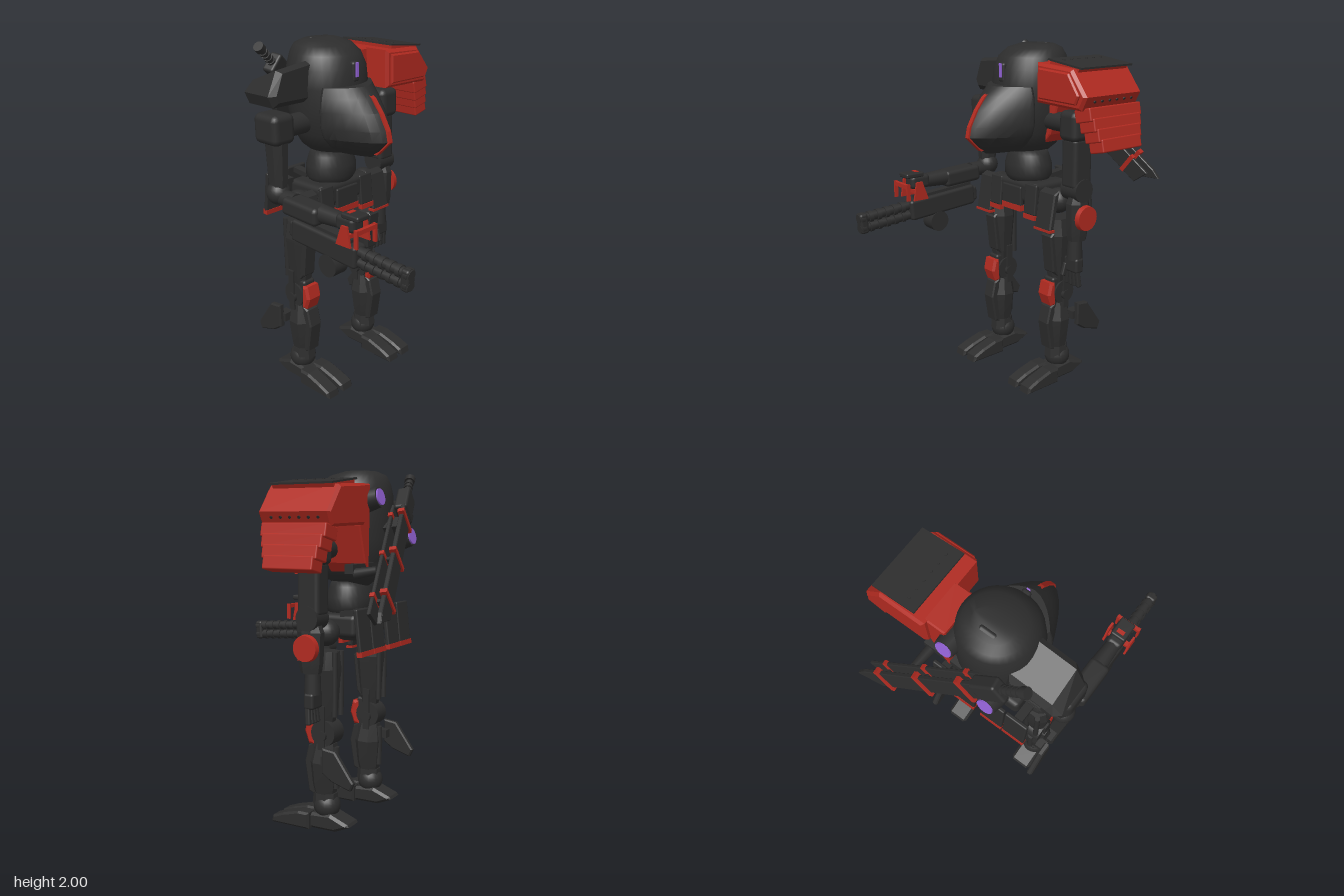
import * as THREE from 'three';
import { toCreasedNormals } from 'three/addons/utils/BufferGeometryUtils.js';
import { RoundedBoxGeometry } from 'three/addons/geometries/RoundedBoxGeometry.js';

const mat = (name, color) => Object.assign(new THREE.MeshStandardMaterial({ color }), { name });
const dark = mat('charcoal', 0x2d2d2d);
const red = mat('red', 0xb02a20);
const purple = mat('purple light', 0x9362d6);

function add(parent, name, geo, m, p = [0, 0, 0], r = [0, 0, 0]) {
  const mesh = new THREE.Mesh(geo, m);
  mesh.name = name;
  mesh.position.set(...p);
  mesh.rotation.set(...r);
  parent.add(mesh);
  return mesh;
}
function group(parent, name, x = 0, y = 0, z = 0) {
  const g = new THREE.Group();
  g.name = name;
  g.position.set(x, y, z);
  parent.add(g);
  return g;
}
const box = (w, h, d) => new THREE.BoxGeometry(w, h, d);
const rbox = (w, h, d, r = 0.015) => new RoundedBoxGeometry(w, h, d, 2, r);
const cyl = (a, b, h, n = 20) => new THREE.CylinderGeometry(a, b, h, n);
const ball = (r) => new THREE.SphereGeometry(r, 20, 14);

// Extruded outline in the xy plane, from z0 to z1
function plate(pts, z0, z1, bevel = 0.008) {
  const g = new THREE.ExtrudeGeometry(new THREE.Shape(pts.map(p => new THREE.Vector2(...p))), {
    depth: z1 - z0 - 2 * bevel, bevelEnabled: bevel > 0, bevelSize: bevel, bevelThickness: bevel, bevelOffset: -bevel, bevelSegments: 1 });
  return g.translate(0, 0, z0 + bevel);
}
// Extruded outline given as (z, y), centred across x
const slab = (pts, w, bevel) => plate(pts, -w / 2, w / 2, bevel).rotateY(-Math.PI / 2);

// Skin over a stack of rings going upwards, capped at both ends
function loft(rings, crease = 0.5) {
  const n = rings[0].length, pos = rings.flat(2), idx = [];
  for (let i = 0; i < rings.length - 1; i++) for (let j = 0; j < n; j++) {
    const a = i * n + j, b = i * n + (j + 1) % n;
    idx.push(a, a + n, b, b, a + n, b + n);
  }
  const last = (rings.length - 1) * n;
  for (let j = 1; j < n - 1; j++) idx.push(0, j, j + 1, last, last + j + 1, last + j);
  const g = new THREE.BufferGeometry();
  g.setAttribute('position', new THREE.Float32BufferAttribute(pos, 3));
  g.setIndex(idx);
  return toCreasedNormals(g, crease);
}
const ring = (n, f) => Array.from({ length: n }, (_, j) => f((j + 0.5) / n * Math.PI * 2));
// Octagonal limb section stack: rows of [y, half width, half depth, z]
const limb = (rows) => loft(rows.map(([y, w, d, z = 0]) => ring(8, t =>
  [Math.cos(t) * w * 1.08, y, z + Math.sin(t) * d * 1.08])), 0.2);

function buildTorso(root) {
  const g = group(root, 'torso', -0.12);
  const rows = [[1.355, .07, -.14, -.32], [1.42, .145, -.07, -.4], [1.5, .195, -.03, -.44], [1.62, .22, -.01, -.46],
    [1.76, .23, -.01, -.46], [1.86, .222, -.02, -.46], [1.93, .197, -.05, -.445], [1.975, .165, -.11, -.42], [1.997, .11, -.2, -.37]];
  add(g, 'hull', loft(rows.map(([y, w, f, b]) => ring(32, t =>
    [Math.cos(t) * w, y, (f + b) / 2 + Math.sin(t) * (f - b) / 2])), 0.7), dark);
  // Pointed cockpit door with a red ridge stripe
  const nose = [[1.395, .06, .1], [1.44, .13, .17], [1.5, .185, .228], [1.56, .205, .215], [1.65, .208, .165], [1.72, .2, .11], [1.775, .185, .05]];
  add(g, 'cockpitDoor', loft(nose.map(([y, w, f]) => ring(30, t => {
    const c = Math.cos(t), s = Math.sin(t);
    return [c * w, y, s > 0 ? -.08 + (f + .08) * (1 - Math.abs(c) ** 1.8) : -.08 + s * .06];
  })), 0.45), dark);
  const line = [[.14, 1.415], ...nose.slice(2).map(([y, , f]) => [f, Math.min(y, 1.755)])];
  add(g, 'ridgeStripe', slab([...line.map(([z, y]) => [z + .006, y]), ...line.reverse().map(([z, y]) => [z - .04, y])], .028, 0), red);
  add(g, 'eyeHousing', rbox(.05, .11, .06), dark, [0, 1.845, -.04]);
  add(g, 'eye', rbox(.022, .08, .008, .003), purple, [0, 1.857, -.008]);
  add(g, 'topHatch', rbox(.1, .04, .12), dark, [0, 1.965, -.36], [-.4, 0, 0]);
  // Rear lights
  for (const [x, y, z] of [[.147, 1.84, -.44], [-.135, 1.63, -.5]]) {
    add(g, 'lightHousing', cyl(.054, .068, .1), dark, [x, y, z + .015], [-1.35, 0, 0]);
    add(g, 'rearLight', cyl(.045, .045, .009, 24), purple, [x, y + .012, z - .038], [-1.35, 0, 0]);
  }
  add(g, 'exhaust', cyl(.022, .03, .13), dark, [.315, 1.46, -.485], [-1.4, 0, 0]);
  add(g, 'exhaustArm', box(.3, .05, .05), dark, [.2, 1.475, -.4]);
  // Waist and pelvis
  add(g, 'waist', new THREE.LatheGeometry([[0, 1.2], [.13, 1.2], [.155, 1.24], [.155, 1.3], [.135, 1.36], [.12, 1.39], [0, 1.39]]
    .map(p => new THREE.Vector2(...p)), 28).scale(1, 1, .85), dark, [0, 0, -.22]);
  add(g, 'pelvis', rbox(.4, .13, .26, .03), dark, [0, 1.15, -.23]);
  add(g, 'crotch', limb([[1.05, .05, .06], [1.1, .09, .11]]), dark, [0, 0, -.23]);
  add(g, 'hipAxle', cyl(.045, .045, .6), dark, [0, 1.13, -.22], [0, 0, Math.PI / 2]);
  add(g, 'centreSkirt', rbox(.17, .12, .025, .008), dark, [0, 1.12, -.1]);
  add(g, 'centreSkirtTrim', box(.17, .035, .032), red, [0, 1.05, -.1]);
  // Rear skirt panels
  for (const x of [-.245, -.095, .095, .245]) {
    const p = group(g, 'rearSkirt', x, 1.14, -.435);
    p.rotation.x = .12;
    add(p, 'panel', rbox(.143, .24, .025, .008), dark);
    add(p, 'panelTrim', box(.143, .028, .032), red, [0, -.122, 0]);
    add(p, 'hinge', box(.05, .03, .12), dark, [0, .1, .06]);
  }
}

function buildLeg(root, s) {
  const g = group(root, s > 0 ? 'leftLeg' : 'rightLeg', -.116 + s * .267, 0, -.22);
  add(g, 'hip', ball(.075), dark, [0, 1.12, 0]);
  // Front skirts with red hems
  add(g, 'outerSkirt', slab([[.06, 1.2], [.1, 1.18], [.135, .975], [.1, .975]], .135), dark, [s * .01, 0, 0]);
  add(g, 'outerSkirtTrim', box(.137, .014, .04), red, [s * .01, .967, .118]);
  add(g, 'innerSkirt', rbox(.1, .18, .025, .008), dark, [-s * .108, 1.12, .115], [-.08, 0, 0]);
  add(g, 'innerSkirtTrim', box(.1, .028, .03), red, [-s * .108, 1.018, .122]);
  // Thigh, knee and shin
  add(g, 'thigh', limb([[.62, .045, .05], [.7, .058, .065], [.92, .077, .085], [1.02, .06, .075]]), dark);
  add(g, 'thighPlate', slab([[.06, .95], [.095, .92], [.07, .7], [.03, .66]], .09), dark);
  for (const k of [-1, 1]) add(g, 'thighPiston', cyl(.016, .016, .36, 10), dark, [k * .035, .84, -.075]);
  add(g, 'kneeJoint', cyl(.075, .075, .11), dark, [0, .56, -.01], [0, 0, Math.PI / 2]);
  add(g, 'kneeBlock', rbox(.085, .2, .1), dark, [0, .56, .02]);
  add(g, 'kneeCap', slab([[.055, .635], [.095, .635], [.112, .56], [.085, .49], [.05, .49]], .108, .014), red);
  for (const k of [-1, 1]) {
    add(g, 'kneeStrut', box(.012, .25, .04), dark, [k * .068, .595, -.01]);
    add(g, 'kneeBolt', cyl(.03, .03, .02, 14), dark, [k * .068, .55, -.01], [0, 0, Math.PI / 2]);
  }
  add(g, 'shin', limb([[.19, .055, .055], [.26, .068, .07, .005], [.39, .082, .08, .005], [.5, .058, .06]]), dark);
  add(g, 'shinPlate', slab([[.05, .5], [.09, .48], [.113, .38], [.085, .21], [.05, .2]], .09), dark);
  add(g, 'calfPiston', cyl(.02, .02, .24, 10), dark, [0, .36, -.065]);
  add(g, 'calfFin', slab([[-.05, .5], [-.13, .49], [-.245, .33], [-.225, .285], [-.11, .32], [-.05, .36]], .037), dark, [s * .116, 0, 0]);
  add(g, 'finMount', box(.06, .05, .06), dark, [s * .08, .42, -.06]);
  // Ankle and two-toed foot
  add(g, 'ankle', ball(.077), dark, [0, .135, -.01]);
  add(g, 'ankleCuff', limb([[.14, .066, .07], [.21, .06, .065]]), dark);
  add(g, 'foot', slab([[.15, 0], [.17, .06], [.08, .09], [-.06, .1], [-.17, .06], [-.18, .045], [-.09, .005]], .135, .015), dark);
  for (const k of [-1, 1])
    add(g, 'toe', slab([[.06, 0], [.308, 0], [.3, .04], [.23, .068], [.13, .096], [.06, .096]], .093, .012), dark, [k * .05, 0, 0], [0, k * .02, 0]);
}

function buildLeftArm(root) {
  const g = group(root, 'leftArm', .3, 0, -.22);
  add(g, 'shoulderAxle', cyl(.055, .055, .28), dark, [-.1, 1.58, 0], [0, 0, Math.PI / 2]);
  add(g, 'shoulder', rbox(.14, .17, .18, .035), dark, [0, 1.58, 0]);
  add(g, 'upperArm', rbox(.12, .29, .135, .025), dark, [-.005, 1.37, 0]);
  add(g, 'elbow', cyl(.067, .067, .125), dark, [0, 1.215, 0], [0, 0, Math.PI / 2]);
  add(g, 'forearm', limb([[.92, .045, .055], [.98, .052, .065], [1.14, .052, .07], [1.19, .042, .05]]), dark, [.012, 0, 0]);
  add(g, 'forearmDisc', cyl(.07, .074, .03, 28), red, [.077, 1.06, -.005], [0, 0, -Math.PI / 2]);
  add(g, 'wrist', cyl(.042, .047, .14, 14), dark, [-.005, .87, 0]);
  add(g, 'palm', rbox(.11, .09, .06), dark, [-.01, .765, 0]);
  for (let i = 0; i < 4; i++) add(g, 'finger', rbox(.024, .1, .03, .008), dark, [-.053 + i * .029, .685, .005], [.1, 0, (i - 1.5) * .06]);
  add(g, 'thumb', rbox(.025, .08, .03, .008), dark, [-.05, .73, .035], [-.3, 0, 0]);
}

function buildRightArm(root) {
  const g = group(root, 'rightArm', -.525);
  add(g, 'shoulderAxle', cyl(.06, .06, .22), dark, [.12, 1.57, -.23], [0, 0, Math.PI / 2]);
  add(g, 'shoulder', rbox(.15, .165, .18, .035), dark, [0, 1.58, -.23]);
  add(g, 'upperArm', limb([[1.22, .042, .05], [1.32, .045, .06], [1.52, .054, .07]]), dark, [0, 0, -.22]);
  add(g, 'elbow', ball(.067), dark, [0, 1.22, -.22]);
  add(g, 'forearm', rbox(.12, .1, .26, .025), dark, [-.01, 1.18, 0], [.05, 0, 0]);
  add(g, 'forearmLink', cyl(.045, .045, .14), dark, [0, 1.2, -.15], [Math.PI / 2, 0, 0]);
  add(g, 'wrist', cyl(.042, .05, .14, 16), dark, [0, 1.185, .19], [Math.PI / 2, 0, 0]);
  add(g, 'fist', rbox(.09, .085, .13, .025), dark, [0, 1.19, .31]);
  add(g, 'knuckles', rbox(.09, .03, .12, .01), dark, [0, 1.235, .35]);
  // Red grip bracket
  add(g, 'gripBar', box(.15, .024, .022), red, [0, 1.18, .42]);
  add(g, 'gripCross', box(.13, .022, .03), red, [0, 1.13, .33]);
  add(g, 'gripStrap', box(.045, .006, .025), red, [0, 1.25, .325]);
  for (const k of [-1, 1]) {
    add(g, 'gripSide', slab([[.285, 1.09], [.385, 1.09], [.365, 1.2], [.325, 1.2]], .012, 0), red, [k * .072, 0, 0]);
    add(g, 'gripPost', box(.012, .1, .022), red, [k * .069, 1.145, .42]);
  }
  // Twin-barrelled gun
  const gun = group(g, 'gun', 0, 1.035, .15);
  gun.rotation.x = .07;
  add(gun, 'receiver', rbox(.09, .125, .47, .018), dark);
  add(gun, 'receiverRail', box(.05, .02, .4), dark, [0, .07, -.02]);
  add(gun, 'buttPlate', rbox(.075, .09, .04), dark, [0, 0, -.24]);
  for (const k of [-1, 1]) {
    add(gun, 'barrel', cyl(.027, .027, .34, 14), dark, [0, k * .03, .4], [Math.PI / 2, 0, 0]);
    for (let i = 0; i < 6; i++) add(gun, 'barrelRing', cyl(.034, .034, .024, 14), dark, [0, k * .028, .28 + i * .054], [Math.PI / 2, 0, 0]);
  }
  add(gun, 'muzzle', rbox(.062, .12, .05), dark, [0, 0, .545]);
  add(gun, 'drumMagazine', cyl(.063, .063, .09, 24), dark, [0, -.11, .045], [0, 0, Math.PI / 2]);
  // Plain shoulder armour, its top falling away to the rear
  const shell = plate([[-.59, 1.76], [-.53, 1.89], [-.28, 1.915], [-.26, 1.69], [-.56, 1.695]], -.41, -.165, .03);
  const v = shell.attributes.position;
  for (let i = 0; i < v.count; i++) if (v.getY(i) > 1.8) v.setY(i, v.getY(i) + (v.getZ(i) + .19) * .4);
  shell.computeVertexNormals();
  add(root, 'rightPauldron', shell, dark);
  for (let i = 0; i < 3; i++) add(root, 'pauldronVent', box(.12, .008, .012), dark, [-.43, 1.73 + i * .018, -.412]);
}

function buildLeftPauldron(root) {
  const g = group(root, 'leftPauldron');
  add(g, 'innerPlate', plate([[.05, 1.92], [.17, 1.92], [.17, 1.7], [.1, 1.5], [.06, 1.45]], -.43, -.19), red);
  const outline = [[.155, 1.92], [.43, 1.905], [.54, 1.77], [.5, 1.695], [.155, 1.705]];
  add(g, 'shell', plate(outline, -.46, -.035, .015), red);
  add(g, 'frontPanel', plate([[.185, 1.895], [.42, 1.885], [.5, 1.775], [.475, 1.725], [.185, 1.73]], -.045, -.02, .008), red);
  // Dark cover on a low red bed
  add(g, 'topBed', plate([[.23, 1.9], [.23, 1.935], [.455, 1.907], [.44, 1.88]], -.43, -.07, 0), red);
  add(g, 'topPlate', box(.26, .01, .38), dark, [.35, 1.925, -.25], [0, 0, -.12]);
  for (let i = 0; i < 6; i++) {
    const z = -.39 + i * .055;
    add(g, 'rivet', cyl(.008, .008, .008, 10), dark, [.526, 1.742, z], [0, 0, -2.08]);
    add(g, 'plateRivet', cyl(.008, .008, .006, 10), dark, [.29, 1.939, z], [0, 0, -.12]);
  }
  // Overlapping lames
  for (let i = 0; i < 4; i++)
    add(g, 'lame', rbox(.118 - i * .005, .072, .385 - i * .03, .008), red, [.492 + i * .02, 1.67 - i * .053, -.255], [0, 0, .22]);
}

function buildSword(root) {
  // Local x runs from the pommel to the tip, local z faces backwards
  const a = new THREE.Vector3(-.43, 1.97, -.44), d = new THREE.Vector3(.46, 1.2, -.69).sub(a), L = d.length();
  d.normalize();
  const n = new THREE.Vector3(0, 0, -1).addScaledVector(d, d.z).normalize();
  const g = group(root, 'sword', a.x, a.y, a.z);
  g.quaternion.setFromRotationMatrix(new THREE.Matrix4().makeBasis(d, n.clone().cross(d), n));
  add(g, 'pommel', cyl(.03, .03, .035, 14), dark, [.015, 0, 0], [0, 0, Math.PI / 2]);
  add(g, 'grip', cyl(.02, .02, .16, 14), dark, [.1, 0, 0], [0, 0, Math.PI / 2]);
  for (let i = 0; i < 4; i++) add(g, 'gripRing', cyl(.026, .026, .015, 14), dark, [.06 + i * .03, 0, 0], [0, 0, Math.PI / 2]);
  add(g, 'guard', rbox(.17, .12, .075), dark, [.24, 0, 0]);
  // Two parallel plates, each crossed by red bands
  add(g, 'blade', plate([[.3, .06], [L - .12, .06], [L, -.045], [L - .06, -.06], [.3, -.06]], .005, .03, .004), dark);
  add(g, 'innerPlate', plate([[.3, .055], [L - .09, .055], [L - .06, -.055], [.3, -.055]], -.055, -.035, .004), dark);
  for (const f of [.32, .58, .84]) {
    add(g, 'bladeBand', box(.026, .16, .037), red, [L * f, 0, .02]);
    add(g, 'innerBand', box(.026, .125, .026), red, [L * f, 0, -.045]);
    add(g, 'plateSpacer', box(.02, .03, .06), dark, [L * f, 0, -.02]);
  }
  add(g, 'mount', box(.08, .06, .14), dark, [.42, 0, -.07]);
}

export function createModel() {
  const root = new THREE.Group();
  root.name = 'mech';
  buildTorso(root);
  for (const s of [-1, 1]) buildLeg(root, s);
  buildLeftArm(root);
  buildRightArm(root);
  buildLeftPauldron(root);
  buildSword(root);
  return root;
}
